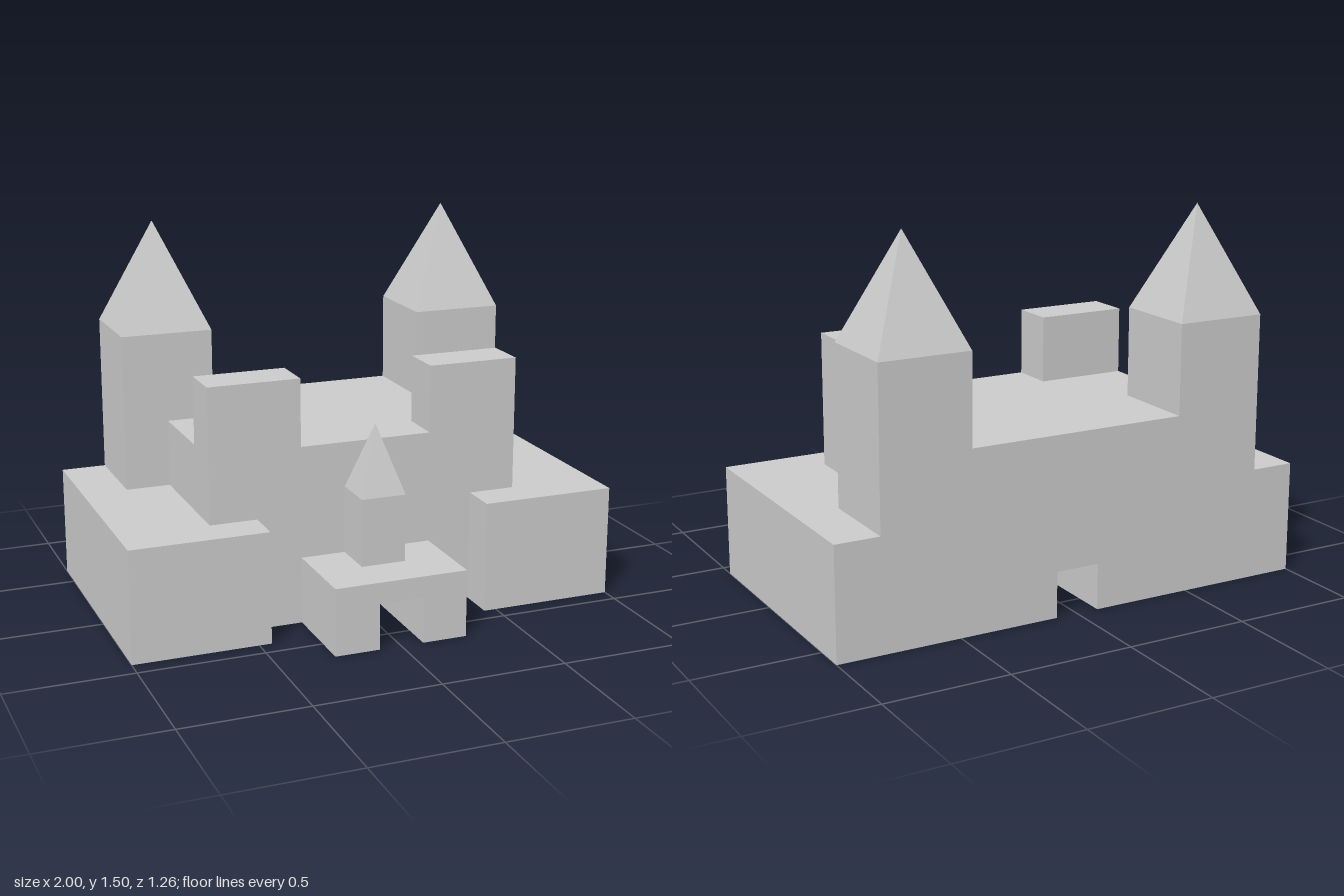
import * as THREE from 'three';

const material = new THREE.MeshStandardMaterial({ color: 0xcccccc, flatShading: true });

function add(parent, name, geometry) {
  const mesh = new THREE.Mesh(geometry, material);
  mesh.name = name;
  parent.add(mesh);
  return mesh;
}

// Box given by its extents along each axis
function block(parent, name, [x0, x1], [y0, y1], [z0, z1]) {
  const mesh = add(parent, name, new THREE.BoxGeometry(x1 - x0, y1 - y0, z1 - z0));
  mesh.position.set((x0 + x1) / 2, (y0 + y1) / 2, (z0 + z1) / 2);
  return mesh;
}

// Block with the square passage cut through its foot, running along z
function passageBlock(parent, name, halfWidth, height, z0, z1) {
  const w = halfWidth, p = 0.09, top = 0.185;
  const shape = new THREE.Shape([
    [-w, 0], [-p, 0], [-p, top], [p, top], [p, 0], [w, 0], [w, height], [-w, height],
  ].map(([x, y]) => new THREE.Vector2(x, y)));
  const geometry = new THREE.ExtrudeGeometry(shape, { depth: z1 - z0, bevelEnabled: false });
  add(parent, name, geometry).position.z = z0;
}

// Rectangular tower with a four-sided pointed roof
function tower(parent, name, xs, [y0, eaves, apex], zs) {
  const group = new THREE.Group();
  group.name = name;
  parent.add(group);
  block(group, name + 'Walls', xs, [y0, eaves], zs);
  const roof = new THREE.ConeGeometry(Math.SQRT1_2, apex - eaves, 4, 1);
  roof.rotateY(Math.PI / 4).scale(xs[1] - xs[0], 1, zs[1] - zs[0]);
  add(group, name + 'Roof', roof)
    .position.set((xs[0] + xs[1]) / 2, (eaves + apex) / 2, (zs[0] + zs[1]) / 2);
}

export function createModel() {
  const castle = new THREE.Group();
  castle.name = 'castle';

  // Lower hall and gatehouse, pierced by one passage from front to back
  passageBlock(castle, 'lowerHall', 0.45, 0.45, -0.63, 0.27);
  passageBlock(castle, 'gatehouse', 0.27, 0.27, 0.27, 0.63);

  // Upper keep: plan with its back corners cut away for the towers
  const plan = new THREE.Shape([
    [-0.64, -0.27], [0.64, -0.27], [0.64, 0.27], [0.45, 0.27],
    [0.45, 0.63], [-0.45, 0.63], [-0.45, 0.27], [-0.64, 0.27],
  ].map(([x, y]) => new THREE.Vector2(x, y)));
  const keep = new THREE.ExtrudeGeometry(plan, { depth: 0.27, bevelEnabled: false });
  keep.rotateX(-Math.PI / 2);
  add(castle, 'keep', keep).position.y = 0.45;

  // Wings, battlements and rear towers on both sides
  for (const [side, s] of [['left', 1], ['right', -1]]) {
    const span = (a, b) => (s > 0 ? [a, b] : [-b, -a]);
    block(castle, side + 'Wing', span(0.45, 1), [0, 0.45], [-0.63, 0.425]);
    block(castle, side + 'Battlement', span(0.27, 0.64), [0.72, 0.99], [0.09, 0.27]);
    tower(castle, side + 'Tower', span(0.45, 0.82), [0.45, 1.08, 1.505], [-0.63, -0.27]);
  }

  // Small turret above the gate
  tower(castle, 'gateTurret', [-0.09, 0.09], [0.27, 0.54, 0.81], [0.27, 0.45]);

  return castle;
}
